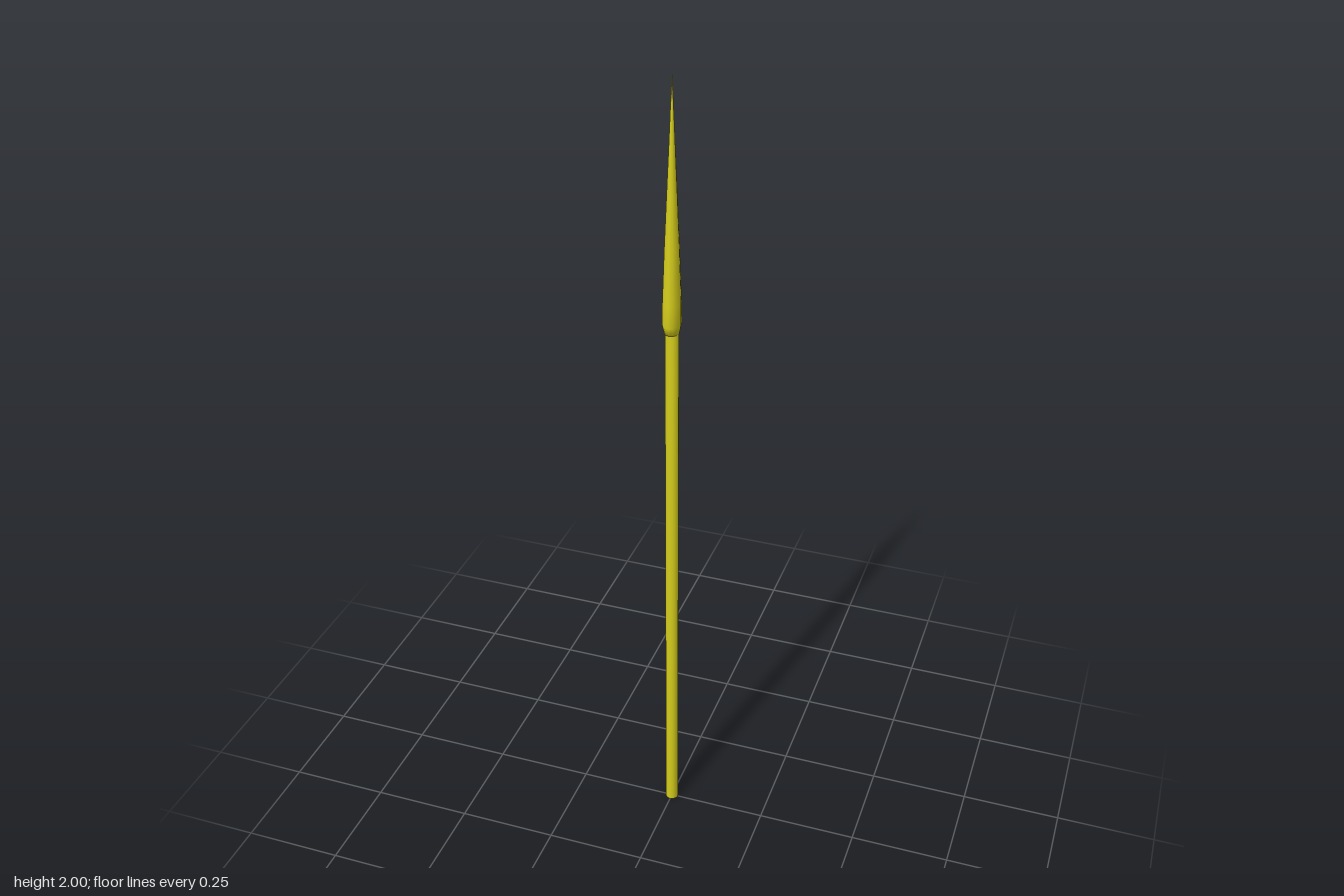
import * as THREE from 'three';

// Smooth solid through elliptical rings: rows are [y, halfWidthX, halfWidthZ]
function loft(rows, sides) {
  const pos = [], idx = [];
  for (const [y, rx, rz] of rows) {
    for (let i = 0; i < sides; i++) {
      const a = (i / sides) * Math.PI * 2;
      pos.push(Math.sin(a) * rx, y, Math.cos(a) * rz);
    }
  }
  for (let r = 0; r < rows.length - 1; r++) {
    for (let i = 0; i < sides; i++) {
      const j = (i + 1) % sides;
      const a = r * sides + i, b = r * sides + j, c = a + sides, d = b + sides;
      idx.push(a, b, d, a, d, c);
    }
  }
  const g = new THREE.BufferGeometry();
  g.setAttribute('position', new THREE.Float32BufferAttribute(pos, 3));
  g.setIndex(idx);
  g.computeVertexNormals();
  return g;
}

export function createModel() {
  const group = new THREE.Group();
  group.name = 'spear';

  const yellow = new THREE.MeshStandardMaterial({ color: 0xd6ce1c });
  yellow.name = 'yellow';

  const add = (name, rows) => {
    const mesh = new THREE.Mesh(loft(rows, 12), yellow);
    mesh.name = name;
    group.add(mesh);
  };

  // Straight round shaft, closed at the foot and running into the head
  add('shaft', [
    [0, 0, 0],
    [0, 0.0162, 0.0162],
    [1.41, 0.0162, 0.0162],
  ]);

  // Flattened head: short flared base, long taper to a needle tip
  add('head', [
    [1.395, 0, 0],
    [1.395, 0.0175, 0.02],
    [1.418, 0.0212, 0.0295],
    [1.47, 0.0212, 0.0275],
    [1.6, 0.0168, 0.0215],
    [1.72, 0.0118, 0.015],
    [1.84, 0.0066, 0.0085],
    [1.92, 0.0034, 0.004],
    [2.0, 0, 0],
  ]);

  return group;
}
